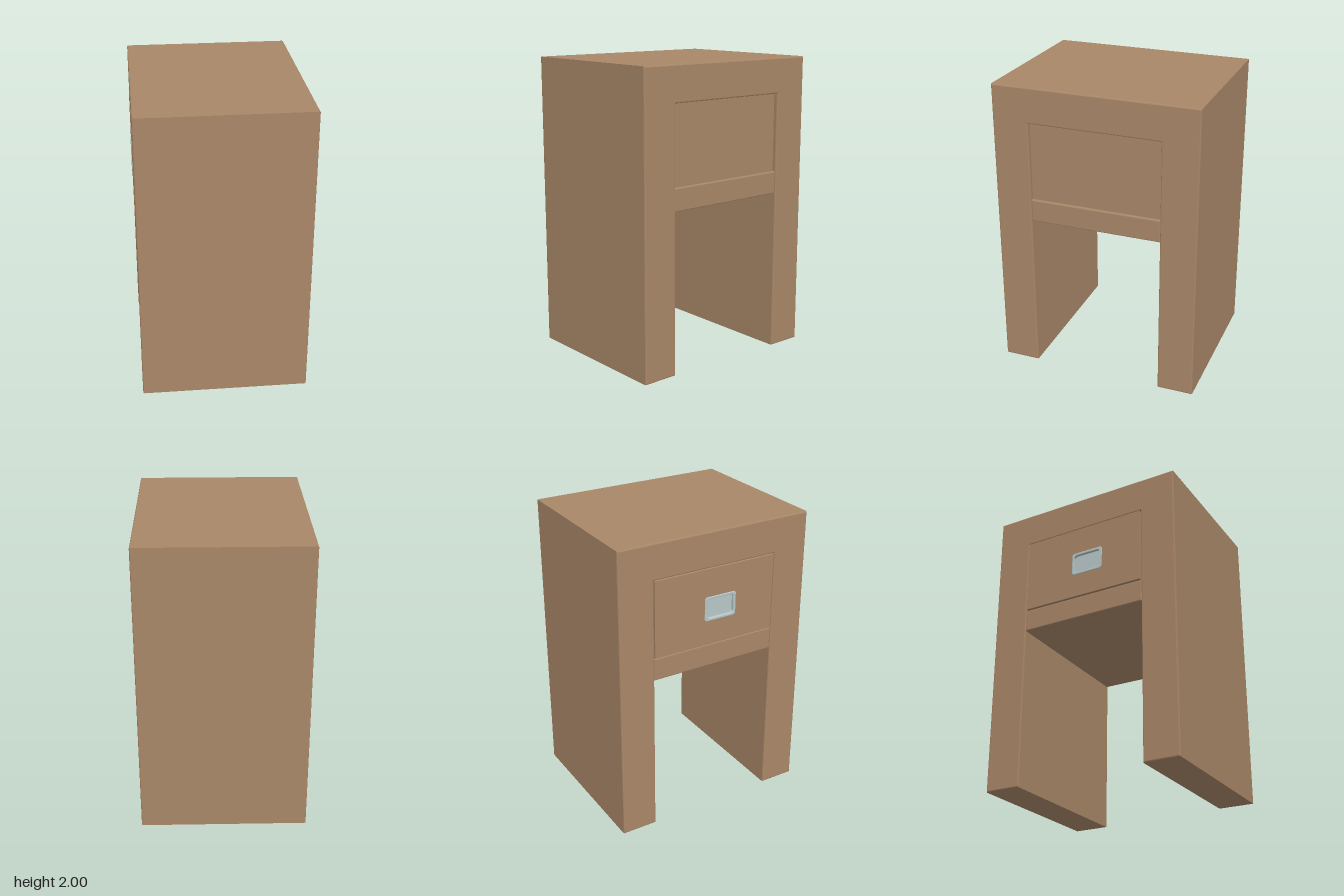
import * as THREE from 'three';

const wood = new THREE.MeshStandardMaterial({ color: 0xa98768 });
wood.name = 'warm wood';
const metal = new THREE.MeshStandardMaterial({ color: 0xb9c8c8 });
metal.name = 'pale metal';

// Closed outline in the (z, y) plane
function outline(points, Type = THREE.Shape) {
  return new Type(points.map(([z, y]) => new THREE.Vector2(-z, y)));
}

function rect(z0, z1, y0, y1, Type) {
  return outline([[z1, y0], [z0, y0], [z0, y1], [z1, y1]], Type);
}

// Rectangle with clipped corners
function clippedRect(z0, z1, y0, y1, c, Type) {
  return outline([
    [z1 - c, y0], [z0 + c, y0], [z0, y0 + c], [z0, y1 - c],
    [z0 + c, y1], [z1 - c, y1], [z1, y1 - c], [z1, y0 + c],
  ], Type);
}

// Extrudes an outline along x from x0 to x1 with softened edges
function slab(name, shape, x0, x1, material, bevel) {
  const geometry = new THREE.ExtrudeGeometry(shape, {
    depth: x1 - x0 - 2 * bevel,
    bevelEnabled: bevel > 0,
    bevelThickness: bevel,
    bevelSize: bevel,
    bevelOffset: -bevel,
    bevelSegments: 2,
  });
  geometry.translate(0, 0, x0 + bevel);
  geometry.rotateY(Math.PI / 2);
  const mesh = new THREE.Mesh(geometry, material);
  mesh.name = name;
  return mesh;
}

export function createModel() {
  const model = new THREE.Group();
  model.name = 'bedsideTable';

  // Top and the two slab legs as one arch; the front leg is slightly shorter
  const arch = outline([
    [0.685, 0.012], [0.442, 0.012], [0.442, 1.765], [-0.442, 1.765],
    [-0.442, 0], [-0.685, 0], [-0.685, 2], [0.685, 2],
  ]);
  model.add(slab('carcass', arch, -0.553, 0.557, wood, 0.008));

  // Shelf under the drawer
  model.add(slab('shelf', rect(-0.442, 0.442, 1.09, 1.24), -0.55, 0.55, wood, 0.006));

  // Drawer, set back on the left side
  const drawer = new THREE.Group();
  drawer.name = 'drawer';
  drawer.add(slab('drawerBox', rect(-0.44, 0.44, 1.238, 1.766), -0.535, 0.53, wood, 0));

  // Drawer front with an opening for the recessed pull
  const front = rect(-0.438, 0.434, 1.246, 1.763);
  front.holes.push(rect(-0.07, 0.14, 1.42, 1.565, THREE.Path));
  drawer.add(slab('drawerFront', front, -0.556, -0.53, wood, 0.002));

  // Recessed pull: bevelled rim and back plate
  const rim = clippedRect(-0.08, 0.15, 1.41, 1.575, 0.012);
  rim.holes.push(clippedRect(-0.062, 0.132, 1.428, 1.557, 0.012, THREE.Path));
  drawer.add(slab('pullRim', rim, -0.56, -0.536, metal, 0.004));
  drawer.add(slab('pullPlate', rect(-0.07, 0.14, 1.42, 1.565), -0.541, -0.534, metal, 0));
  model.add(drawer);

  return model;
}
